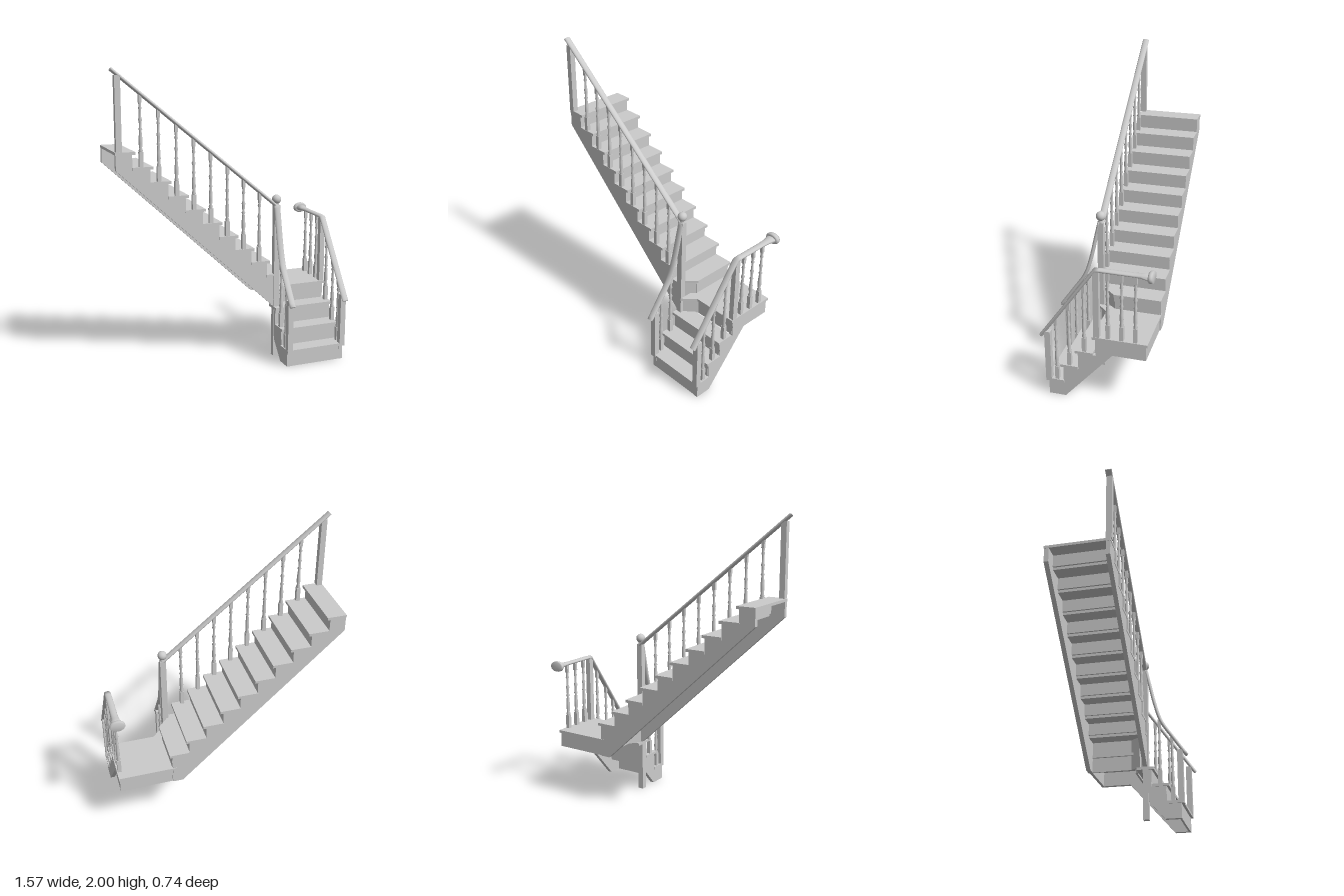
import * as THREE from 'three';

const mat = new THREE.MeshStandardMaterial({ color: 0xcccccc, side: THREE.DoubleSide });

function add(parent, name, geo, x = 0, y = 0, z = 0) {
  const m = new THREE.Mesh(geo, mat);
  m.name = name;
  m.position.set(x, y, z);
  parent.add(m);
  return m;
}

// Box given by its minimum and maximum corners
function block(parent, name, x0, x1, y0, y1, z0, z1) {
  return add(parent, name, new THREE.BoxGeometry(x1 - x0, y1 - y0, z1 - z0),
    (x0 + x1) / 2, (y0 + y1) / 2, (z0 + z1) / 2);
}

function extrude(pts, depth) {
  const shape = new THREE.Shape(pts.map(([a, b]) => new THREE.Vector2(a, b)));
  return new THREE.ExtrudeGeometry(shape, { depth, bevelEnabled: false });
}

// Flat board from an [x, z] outline
function slab(parent, name, pts, y0, y1) {
  const geo = extrude(pts.map(([x, z]) => [x, -z]), y1 - y0);
  return add(parent, name, geo.rotateX(-Math.PI / 2), 0, y0, 0);
}

// Side board from a [z, y] outline
function sideBoard(parent, name, pts, x0, x1) {
  return add(parent, name, extrude(pts, x1 - x0).rotateY(-Math.PI / 2), x1, 0, 0);
}

// Upright board between two [x, z] points
function riser(parent, name, a, b, y0, y1) {
  const dx = b[0] - a[0], dz = b[1] - a[1];
  const m = add(parent, name, new THREE.BoxGeometry(Math.hypot(dx, dz), y1 - y0, 0.014),
    (a[0] + b[0]) / 2, (y0 + y1) / 2, (a[1] + b[1]) / 2);
  m.rotation.y = -Math.atan2(dz, dx);
}

// Oval handrail swept along a planar path; side is the level direction across it
function handrail(parent, name, path, side, flare = []) {
  const N = 16, W = 0.022, H = 0.012, pos = [], idx = [];
  path.forEach((p, i) => {
    const a = path[Math.max(i - 1, 0)], b = path[Math.min(i + 1, path.length - 1)];
    const t1 = p.clone().sub(a).normalize(), t2 = b.clone().sub(p).normalize();
    const up = t1.add(t2).normalize().cross(side).normalize();
    const k = flare[i] ?? 1;
    for (let j = 0; j < N; j++) {
      const q = j / N * Math.PI * 2;
      const v = p.clone().addScaledVector(side, W * k * Math.cos(q)).addScaledVector(up, H * k * Math.sin(q));
      pos.push(v.x, v.y, v.z);
      if (i) {
        const c = i * N + j, d = i * N + (j + 1) % N;
        idx.push(c - N, c, d, c - N, d, d - N);
      }
    }
  });
  for (let j = 1; j < N - 1; j++) {
    const e = (path.length - 1) * N;
    idx.push(0, j, j + 1, e, e + j + 1, e + j);
  }
  const geo = new THREE.BufferGeometry();
  geo.setAttribute('position', new THREE.Float32BufferAttribute(pos, 3));
  geo.setIndex(idx);
  geo.computeVertexNormals();
  add(parent, name, geo);
}

// Turned baluster: square foot and head with a beaded spindle between
const spindle = [[0.010, 0.2], [0.014, 0.23], [0.009, 0.26], [0.013, 0.32], [0.012, 0.4], [0.008, 0.5],
  [0.013, 0.52], [0.008, 0.54], [0.009, 0.62], [0.013, 0.65], [0.008, 0.68], [0.007, 0.78], [0.012, 0.8], [0.008, 0.83], [0.011, 0.9]];
function baluster(parent, x, z, y0, y1) {
  const h = y1 - y0, g = new THREE.Group();
  g.name = 'baluster';
  g.position.set(x, y0, z);
  block(g, 'balusterFoot', -0.013, 0.013, 0, 0.21 * h, -0.013, 0.013);
  add(g, 'balusterSpindle', new THREE.LatheGeometry(spindle.map(([r, t]) => new THREE.Vector2(r, t * h)), 12));
  block(g, 'balusterHead', -0.010, 0.010, 0.88 * h, h, -0.010, 0.010);
  parent.add(g);
}

export function createModel() {
  const root = new THREE.Group();
  root.name = 'staircase';
  const group = name => {
    const g = new THREE.Group();
    g.name = name;
    root.add(g);
    return g;
  };
  const V = (x, y, z) => new THREE.Vector3(x, y, z);
  const T = 0.018;

  // Lower flight: stringers, treads and risers
  const lower = group('lowerFlight');
  const steps = [[0.115, 0.34], [0.115, 0.22], [0.215, 0.22], [0.215, 0.1], [0.315, 0.1]];
  sideBoard(lower, 'leftStringer', [[0.315, 0], [0.205, 0], [-0.11, 0.36], [-0.325, 0.36], [-0.325, 0.46],
    [0, 0.46], [0, 0.34], ...steps], 0.715, 0.745);
  sideBoard(lower, 'rightStringer', [[0.315, 0], [0.205, 0], [0.08, 0.143], [0.08, 0.34], ...steps], 0.325, 0.355);
  [[0.33, 0.1], [0.235, 0.22], [0.135, 0.34]].forEach(([z, y], i) => {
    block(lower, 'tread', 0.32, 0.752, y, y + T, z - 0.118, z);
    riser(lower, 'riser', [0.33, z - 0.024], [0.74, z - 0.024], i ? y - 0.11 : 0, y);
  });

  // Quarter landing with a splayed inner corner and an open underside
  const landing = group('landing');
  slab(landing, 'landingTop', [[0.36, -0.335], [0.752, -0.335], [0.752, 0.02], [0.44, 0.02], [0.36, 0.1]], 0.46, 0.478);
  riser(landing, 'landingRiser', [0.74, -0.005], [0.43, -0.005], 0.35, 0.46);
  riser(landing, 'landingRiser', [0.432, -0.005], [0.355, 0.07], 0.35, 0.46);
  block(landing, 'landingBackBoard', 0.39, 0.74, 0.36, 0.46, -0.325, -0.305);

  // Upper flight: ten treads rising to the right
  const upper = group('upperFlight');
  const rise = 0.0988, going = 0.1155, X0 = 0.405, Y0 = 0.59;
  const profile = [[-0.76, 1.461], [-0.76, 1.365], [0.32, 0.36], [0.385, 0.36]];
  for (let i = 0; i < 10; i++) {
    const x = X0 - i * going, y = Y0 + i * rise, end = i === 9 ? -0.762 : x - going - 0.022;
    profile.push([x - 0.02, y - T], [i === 9 ? -0.7 : x - going - 0.02, y - T]);
    if (i) {
      block(upper, 'tread', end, x, y - T, y, -0.335, 0.093);
      riser(upper, 'riser', [x - 0.027, -0.32], [x - 0.027, 0.08], y - rise, y - T);
    }
  }
  profile.pop();
  slab(upper, 'splayedTread', [[0.268, -0.335], [X0, -0.335], [X0, -0.02], [0.335, 0.055], [0.335, 0.093], [0.268, 0.093]], Y0 - T, Y0);
  riser(upper, 'riser', [0.382, -0.325], [0.382, -0.025], 0.36, Y0 - T);
  riser(upper, 'riser', [0.382, -0.027], [0.325, 0.045], 0.36, Y0 - T);
  add(upper, 'backStringer', extrude(profile, 0.03), 0, 0, -0.332);
  // Front stringer stops at the newel
  const cut = profile.map(([x, y]) => [Math.min(x, 0.335), y]);
  add(upper, 'frontStringer', extrude(cut, 0.028), 0, 0, 0.062);

  // Posts and newel
  const posts = group('posts');
  block(posts, 'newelPost', 0.32, 0.36, 0, 1.07, 0.06, 0.098);
  add(posts, 'newelBall', new THREE.SphereGeometry(0.031, 24, 16), 0.34, 1.11, 0.079);
  add(posts, 'newelNeck', new THREE.CylinderGeometry(0.014, 0.018, 0.03, 16), 0.34, 1.08, 0.079);
  block(posts, 'topPost', -0.757, -0.72, 1.48, 1.95, 0.06, 0.098);
  block(posts, 'landingPost', 0.715, 0.75, 0.46, 0.935, -0.027, 0.01);
  for (const x of [0.34, 0.733]) block(posts, 'frontPost', x - 0.019, x + 0.019, 0.1, 0.465, 0.295, 0.333);

  // Balusters
  const balusters = group('balusters');
  const railY = x => 1.065 + (0.34 - x) * 0.825;
  for (let i = 1; i < 9; i++) {
    const x = 0.215 - (i - 1) * 0.1158;
    baluster(balusters, x, 0.078, Y0 + i * rise, railY(x));
  }
  for (const [z, y] of [[0.26, 0.118], [0.175, 0.238], [0.075, 0.358]]) {
    const top = 0.94 - z * 1.42;
    baluster(balusters, 0.733, z, y, top);
    if (z > 0.1) baluster(balusters, 0.34, z, y, top);
  }
  for (const z of [-0.08, -0.168, -0.255]) baluster(balusters, 0.733, z, 0.478, 0.935);

  // Handrails
  const rails = group('handrails');
  handrail(rails, 'upperHandrail', [V(0.34, railY(0.34), 0.077), V(-0.775, 1.987, 0.077)], V(0, 0, 1));
  handrail(rails, 'leftHandrail', [V(0.733, 0.43, 0.358), V(0.733, 0.94, 0), V(0.733, 0.943, -0.03), V(0.733, 0.943, -0.24),
    V(0.733, 0.943, -0.29), V(0.733, 0.943, -0.335)], V(1, 0, 0), [1, 1, 1, 1, 1.15, 1.7]);
  const curve = new THREE.CatmullRomCurve3([V(0.34, 0.43, 0.358), V(0.34, 0.55, 0.275), V(0.34, 0.68, 0.19),
    V(0.34, 0.81, 0.147), V(0.34, 0.95, 0.115), V(0.34, 1.07, 0.088)]);
  handrail(rails, 'curvedHandrail', curve.getPoints(30), V(1, 0, 0));

  // Oval wall rosette at the end of the landing rail
  const disc = [[0, 0], [0.038, 0], [0.046, 0.006], [0.05, 0.014], [0.05, 0.024], [0.045, 0.034], [0, 0.034]];
  const rosette = add(rails, 'wallRosette',
    new THREE.LatheGeometry(disc.map(([r, y]) => new THREE.Vector2(r, y)), 32).rotateX(-Math.PI / 2), 0.733, 0.943, -0.335);
  rosette.scale.y = 0.72;
  return root;
}
